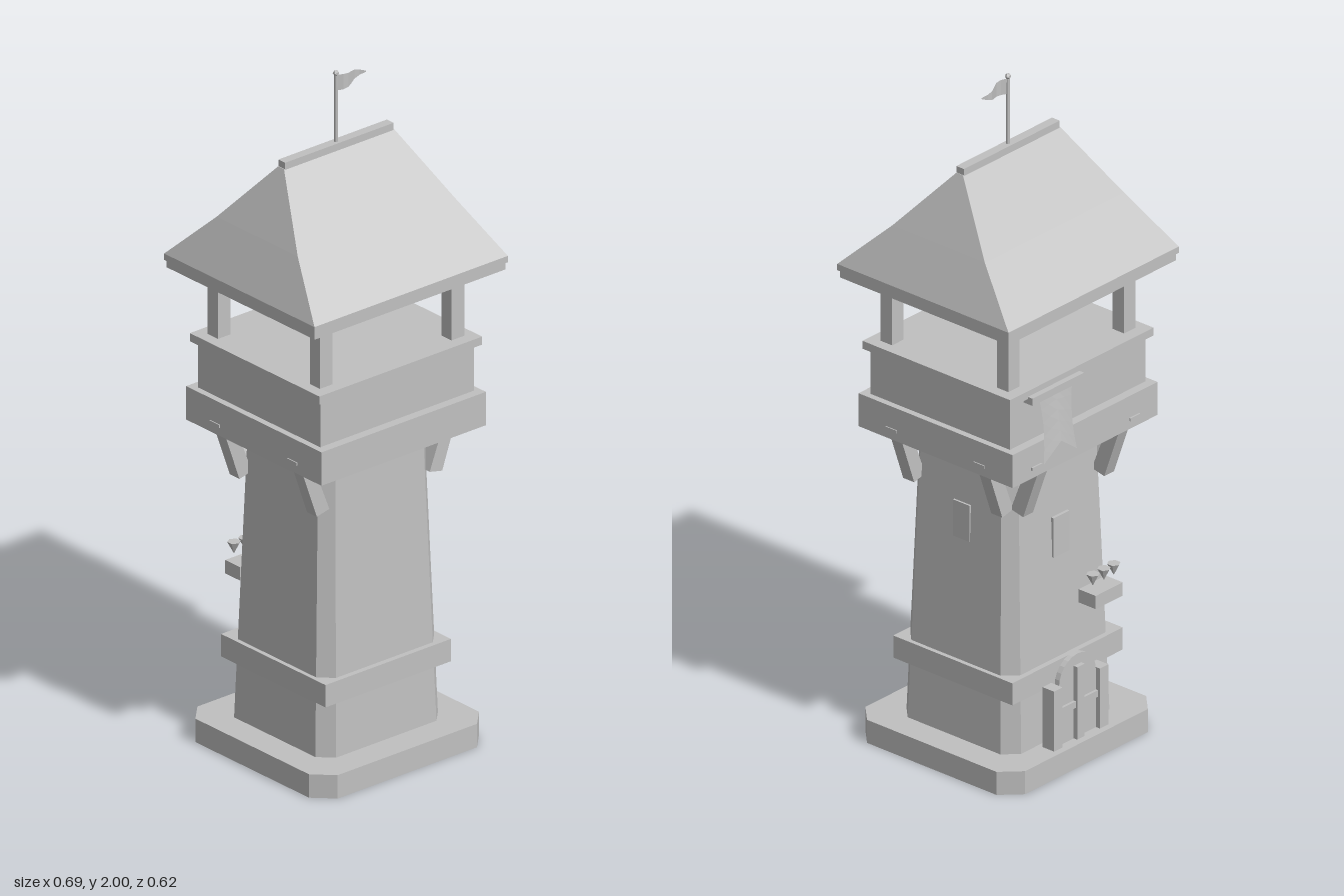
import * as THREE from 'three';

const stone = new THREE.MeshStandardMaterial({ color: 0xc0c0c0, flatShading: true, side: THREE.DoubleSide });
stone.name = 'pale grey';

function add(parent, name, geometry, x = 0, y = 0, z = 0) {
  const mesh = new THREE.Mesh(geometry, stone);
  mesh.name = name;
  mesh.position.set(x, y, z);
  parent.add(mesh);
  return mesh;
}

// Box given by its size, bottom height and centre in x and z
const block = (parent, name, w, h, d, bottom, x = 0, z = 0) =>
  add(parent, name, new THREE.BoxGeometry(w, h, d), x, bottom + h / 2, z);

// Rectangular ring, counterclockwise from above, with optional cut corners
function ring([y, hx, hz, cut = 0]) {
  const points = [];
  for (const [sx, sz] of [[1, 1], [1, -1], [-1, -1], [-1, 1]]) {
    if (!cut) { points.push([sx * hx, y, sz * hz]); continue; }
    const pair = [[sx * (hx - cut), y, sz * hz], [sx * hx, y, sz * (hz - cut)]];
    if (sx !== sz) pair.reverse();
    points.push(...pair);
  }
  return points;
}

// Closed solid through a stack of rings
function loft(sections) {
  const rings = sections.map(ring), n = rings[0].length, v = [];
  for (let k = 0; k < rings.length - 1; k++) {
    for (let i = 0; i < n; i++) {
      const j = (i + 1) % n, lo = rings[k], hi = rings[k + 1];
      v.push(...lo[i], ...lo[j], ...hi[j], ...lo[i], ...hi[j], ...hi[i]);
    }
  }
  const bottom = rings[0], top = rings[rings.length - 1];
  for (let i = 1; i < n - 1; i++) {
    v.push(...top[0], ...top[i], ...top[i + 1], ...bottom[0], ...bottom[i + 1], ...bottom[i]);
  }
  const g = new THREE.BufferGeometry();
  g.setAttribute('position', new THREE.Float32BufferAttribute(v, 3));
  g.computeVertexNormals();
  return g;
}

// Slanted strut: side profile extruded to its width, leaning out along +x
function strutGeometry() {
  const profile = new THREE.Shape([[0.235, 0.945], [0.278, 0.945], [0.225, 0.795], [0.18, 0.805]]
    .map(([x, y]) => new THREE.Vector2(x, y)).reverse());
  return new THREE.ExtrudeGeometry(profile, { depth: 0.04, bevelEnabled: false }).translate(0, 0, -0.02);
}

function buildDoor() {
  const door = new THREE.Group();
  door.name = 'door';
  const shape = new THREE.Shape();
  shape.moveTo(-0.075, 0.07);
  shape.lineTo(0.075, 0.07);
  shape.lineTo(0.075, 0.247);
  shape.absarc(0, 0.247, 0.075, 0, Math.PI, false);
  shape.closePath();
  add(door, 'archedDoorPanel', new THREE.ExtrudeGeometry(shape, { depth: 0.016, bevelEnabled: false, curveSegments: 6 }), 0, 0, -0.252);
  for (const s of [-1, 1]) block(door, 'doorJamb', 0.035, 0.182, 0.042, 0.07, s * 0.093, -0.245);
  block(door, 'doorMiddleBatten', 0.03, 0.22, 0.02, 0.07, 0, -0.255);
  block(door, 'doorCrossBatten', 0.15, 0.02, 0.014, 0.165, 0, -0.253);
  return door;
}

function buildFlowerBox() {
  const box = new THREE.Group();
  box.name = 'flowerBox';
  block(box, 'planter', 0.11, 0.04, 0.062, 0.445, -0.105, -0.243);
  for (const x of [-0.06, -0.105, -0.145]) {
    add(box, 'flower', new THREE.ConeGeometry(0.019, 0.036, 6).rotateX(Math.PI), x, 0.525, -0.255);
  }
  return box;
}

function buildBanner() {
  const banner = new THREE.Group();
  banner.name = 'banner';
  block(banner, 'bannerRod', 0.21, 0.022, 0.032, 1.168, 0.115, -0.269);
  // Cloth bulges out over the balcony edge and ends in a notch
  const cloth = new THREE.PlaneGeometry(0.135, 1, 4, 5);
  const p = cloth.attributes.position;
  for (let i = 0; i < p.count; i++) {
    const x = p.getX(i), t = 0.5 - p.getY(i);
    const edge = Math.abs(x) / 0.0675;
    p.setX(i, x * (1 - 0.15 * Math.sin(Math.PI * t)));
    p.setY(i, 1.175 - t * (0.15 + 0.05 * edge));
    p.setZ(i, -0.272 - 0.018 * t - 0.004 * (1 - edge) * t);
  }
  cloth.computeVertexNormals();
  add(banner, 'bannerCloth', cloth, 0.112);
  return banner;
}

function buildFlag() {
  const flag = new THREE.Group();
  flag.name = 'flag';
  add(flag, 'flagPole', new THREE.CylinderGeometry(0.005, 0.006, 0.22, 6), 0, 1.88, 0);
  add(flag, 'poleKnob', new THREE.IcosahedronGeometry(0.009, 0), 0, 1.991, 0);
  const pennant = new THREE.PlaneGeometry(0.105, 1, 6, 1);
  const p = pennant.attributes.position;
  for (let i = 0; i < p.count; i++) {
    const t = p.getX(i) / 0.105 + 0.5, upper = p.getY(i) > 0;
    p.setXYZ(i, 0.003 + 0.105 * t,
      upper ? 1.985 - 0.02 * t * t : 1.938 + 0.024 * t * t,
      0.009 * Math.sin(t * Math.PI * 2));
  }
  pennant.computeVertexNormals();
  add(flag, 'pennant', pennant);
  return flag;
}

export function createModel() {
  const tower = new THREE.Group();
  tower.name = 'watchtower';

  // Foot and tapering shaft with cut corners
  add(tower, 'footing', loft([[0, 0.305, 0.29, 0.055], [0.07, 0.305, 0.29, 0.055]]), 0, 0, 0.005);
  add(tower, 'shaft', loft([[0.07, 0.22, 0.208, 0.04], [0.945, 0.19, 0.178, 0.033]]));
  block(tower, 'stoneBand', 0.45, 0.067, 0.432, 0.237);

  // Balcony
  block(tower, 'balconyFloor', 0.59, 0.1, 0.56, 0.945);
  block(tower, 'parapet', 0.552, 0.14, 0.506, 1.045);
  block(tower, 'parapetRail', 0.584, 0.024, 0.536, 1.183);
  for (const sx of [-1, 1]) {
    for (const sz of [-1, 1]) block(tower, 'roofPost', 0.046, 0.205, 0.042, 1.205, sx * 0.236, sz * 0.211);
  }

  // Struts with peg ends: two on each side, two on the back
  const strut = strutGeometry();
  for (const s of [-1, 1]) {
    for (const z of [-0.16, 0.16]) {
      add(tower, 'sideStrut', strut, 0, 0, z).rotation.y = s > 0 ? 0 : Math.PI;
      block(tower, 'sidePeg', 0.01, 0.009, 0.04, 0.97, s * 0.293, z);
    }
    add(tower, 'backStrut', strut, s * 0.165, 0, 0.005).rotation.y = Math.PI / 2;
    block(tower, 'backPeg', 0.04, 0.009, 0.01, 0.97, s * 0.2, -0.28);
  }

  // Hipped roof, flaring at the eaves
  block(tower, 'eaves', 0.684, 0.025, 0.612, 1.406);
  add(tower, 'roof', loft([
    [1.428, 0.347, 0.311], [1.447, 0.347, 0.311], [1.588, 0.283, 0.168], [1.768, 0.197, 0.012],
  ]));
  block(tower, 'ridgeCap', 0.39, 0.027, 0.028, 1.76);

  // Window plates, nearly flush with the walls
  block(tower, 'backWindow', 0.065, 0.12, 0.009, 0.605, 0, -0.19);
  block(tower, 'sideWindow', 0.009, 0.11, 0.06, 0.665, 0.197, -0.01);

  tower.add(buildDoor(), buildFlowerBox(), buildBanner(), buildFlag());
  return tower;
}
